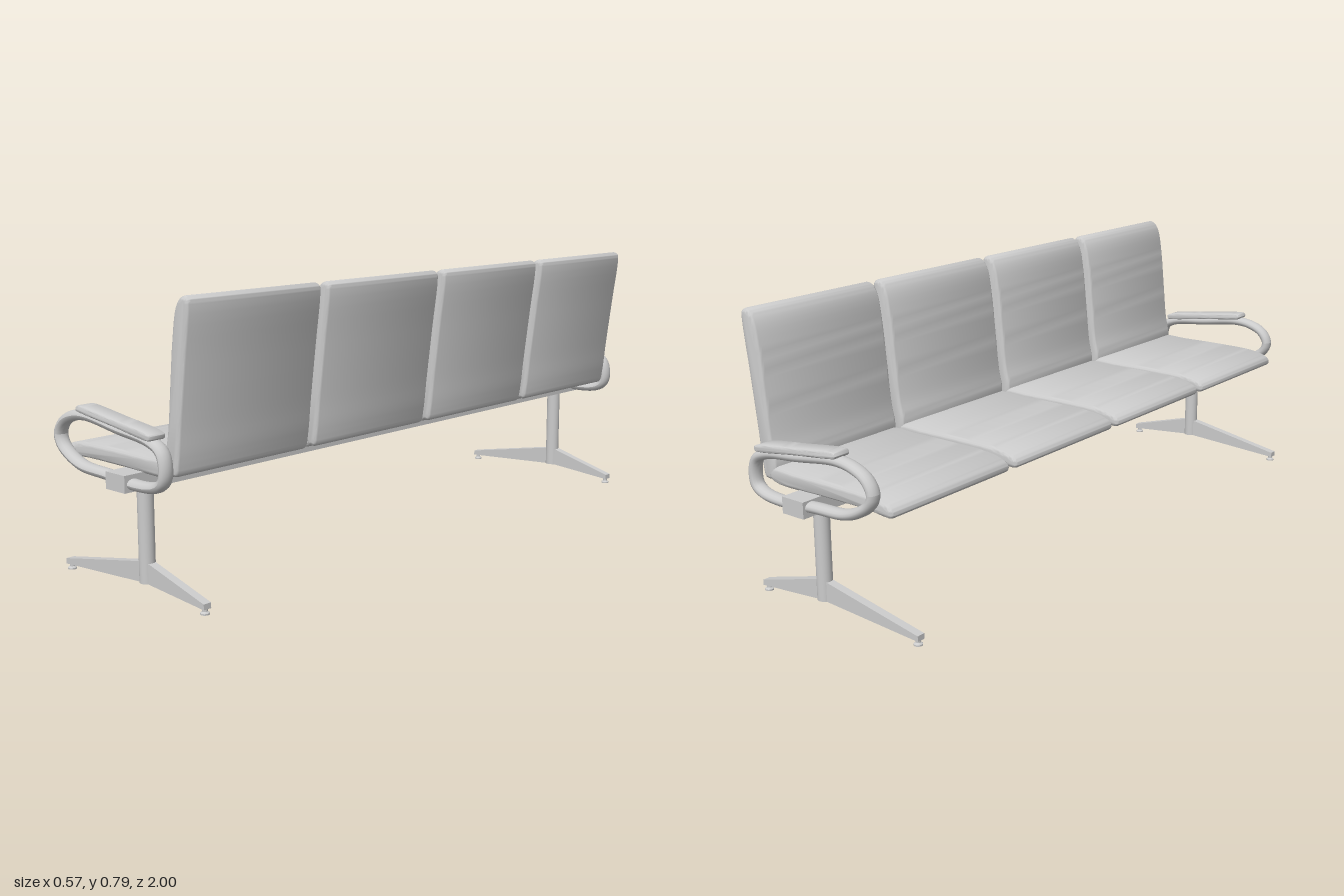
import * as THREE from 'three';
import { toCreasedNormals } from 'three/addons/utils/BufferGeometryUtils.js';

const grey = new THREE.MeshStandardMaterial({ color: 0xcccccc });

function add(parent, name, geometry, x = 0, y = 0, z = 0) {
  const mesh = new THREE.Mesh(geometry, grey);
  mesh.name = name;
  mesh.position.set(x, y, z);
  parent.add(mesh);
  return mesh;
}

const curve = (pts) =>
  new THREE.CatmullRomCurve3(pts.map(([x, y]) => new THREE.Vector3(x, y, 0)), true, 'centripetal');

// Side outline extruded along z, centred on z = 0, with rounded rims
function slab(outline, width, bevel, smooth) {
  const pts = smooth
    ? curve(outline).getPoints(72).slice(0, -1)
    : outline.map(([x, y]) => new THREE.Vector2(x, y));
  const geometry = new THREE.ExtrudeGeometry(new THREE.Shape(pts.map((p) => new THREE.Vector2(p.x, p.y))), {
    depth: width - 2 * bevel,
    bevelEnabled: bevel > 0,
    bevelThickness: bevel,
    bevelSize: bevel,
    bevelOffset: -bevel,
    bevelSegments: 4,
  });
  geometry.translate(0, 0, bevel - width / 2);
  return smooth ? toCreasedNormals(geometry, 0.7) : geometry;
}

const seatOutline = [
  [0.2, 0.376], [0.1, 0.379], [-0.05, 0.38], [-0.16, 0.377], [-0.205, 0.369], [-0.231, 0.357],
  [-0.237, 0.343], [-0.228, 0.332], [-0.205, 0.331], [-0.15, 0.336], [0, 0.336], [0.19, 0.337], [0.208, 0.355],
];
const backOutline = [
  [0.205, 0.342], [0.222, 0.346], [0.232, 0.385], [0.242, 0.47], [0.263, 0.63], [0.281, 0.765],
  [0.279, 0.782], [0.265, 0.79], [0.246, 0.783], [0.23, 0.758], [0.215, 0.68], [0.203, 0.57],
  [0.19, 0.45], [0.178, 0.39], [0.184, 0.355],
];
const ringPath = [
  [-0.205, 0.4], [-0.186, 0.433], [-0.148, 0.453], [-0.09, 0.462], [0.05, 0.445], [0.17, 0.429],
  [0.209, 0.409], [0.221, 0.37], [0.214, 0.336], [0.188, 0.319], [0.12, 0.311], [0, 0.32],
  [-0.11, 0.327], [-0.164, 0.348], [-0.195, 0.372],
];
const padOutline = [
  [-0.104, 0.481], [-0.098, 0.489], [-0.08, 0.49], [0.05, 0.474], [0.18, 0.456], [0.193, 0.449],
  [0.19, 0.438], [0.175, 0.437], [0.05, 0.454], [-0.085, 0.471], [-0.1, 0.474],
];
const footOutline = [
  [-0.285, 0.015], [0.04, 0.034], [0.068, 0.034], [0.285, 0.015], [0.285, 0.03],
  [0.075, 0.088], [0.032, 0.088], [-0.285, 0.03],
];

export function createModel() {
  const bench = new THREE.Group();
  bench.name = 'beamBench';

  // Long beam carrying everything
  add(bench, 'beam', new THREE.BoxGeometry(0.076, 0.045, 2), 0.055, 0.3145, 0);

  // Four seats with backs and support bars below
  const cushion = slab(seatOutline, 0.453, 0.012, true);
  const backrest = slab(backOutline, 0.453, 0.012, true);
  const bar = new THREE.BoxGeometry(0.15, 0.016, 0.02);
  for (const z of [-0.717, -0.239, 0.239, 0.717]) {
    const seat = new THREE.Group();
    seat.name = 'seatUnit';
    seat.position.z = z;
    add(seat, 'seat', cushion);
    add(seat, 'backrest', backrest);
    for (const offset of [-0.14, 0, 0.14]) add(seat, 'supportBar', bar, -0.055, 0.329, offset);
    bench.add(seat);
  }

  // Armrest loops, pads and pedestal legs at both ends
  const ring = new THREE.TubeGeometry(curve(ringPath), 96, 0.0145, 14, true);
  ring.scale(1, 1, 1.4);
  ring.computeVertexNormals();
  const pad = slab(padOutline, 0.054, 0.006, true);
  const foot = slab(footOutline, 0.024, 0, false);
  const column = new THREE.CylinderGeometry(0.0215, 0.0215, 0.26, 28);
  const glide = new THREE.LatheGeometry(
    [[0, 0], [0.012, 0], [0.012, 0.004], [0.007, 0.008], [0.007, 0.016], [0, 0.016]].map(
      ([r, y]) => new THREE.Vector2(r, y)), 16);
  for (const side of [-1, 1]) {
    const arm = new THREE.Group();
    arm.name = 'armrest';
    arm.position.z = side * 0.973;
    add(arm, 'armLoop', ring);
    add(arm, 'armPad', pad);
    bench.add(arm);

    const leg = new THREE.Group();
    leg.name = 'leg';
    leg.position.z = side * 0.906;
    add(leg, 'column', column, 0.0535, 0.164, 0);
    add(leg, 'foot', foot);
    for (const x of [-0.275, 0.275]) add(leg, 'glide', toCreasedNormals(glide, 0.5), x, 0, 0);
    bench.add(leg);
  }
  return bench;
}
